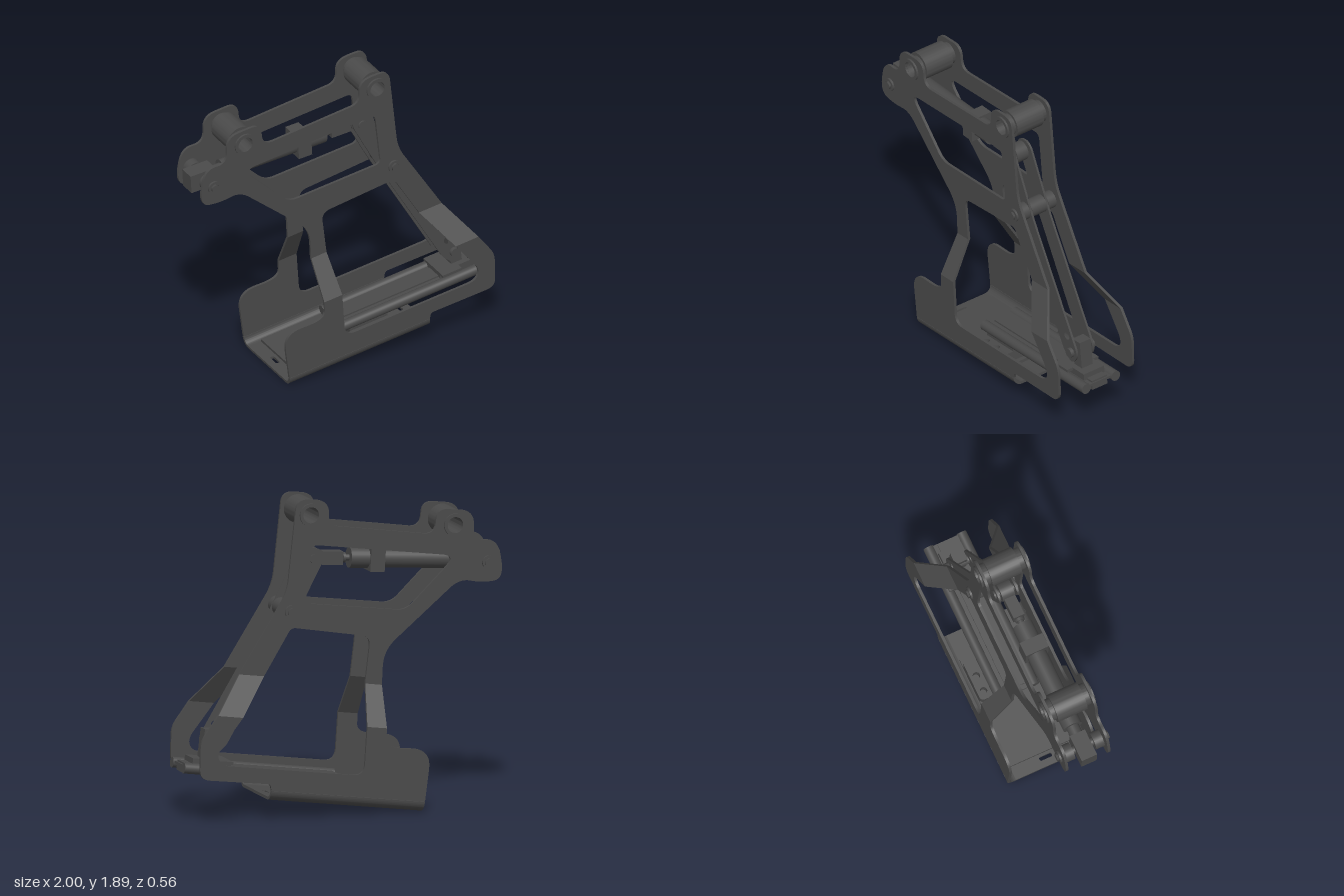
import * as THREE from 'three';
import { toCreasedNormals } from 'three/addons/utils/BufferGeometryUtils.js';

const material = new THREE.MeshStandardMaterial({ color: 0x4a4a4a });
const TILT = 0.125;

export function createModel() {
  const model = new THREE.Group();
  // the base parts lie in a frame tilted with the floor
  const base = new THREE.Group();
  base.name = 'base';
  base.position.y = 0.058;
  base.rotation.z = TILT;
  model.add(base);

  const add = (name, geometry, parent = model) => {
    const mesh = new THREE.Mesh(geometry, material);
    mesh.name = name;
    parent.add(mesh);
    return mesh;
  };

  // closed outline from corners [x, y, rounding]
  const rounded = (pts, path = new THREE.Shape()) => {
    const n = pts.length;
    pts.forEach(([x, y, r], i) => {
      const c = new THREE.Vector2(x, y);
      const toward = ([px, py]) => {
        const d = new THREE.Vector2(px, py).sub(c);
        return d.setLength(Math.min(r, d.length() * 0.49)).add(c);
      };
      const a = r ? toward(pts[(i + n - 1) % n]) : c;
      if (i) path.lineTo(a.x, a.y);
      else path.moveTo(a.x, a.y);
      if (r) {
        const b = toward(pts[(i + 1) % n]);
        path.quadraticCurveTo(x, y, b.x, b.y);
      }
    });
    path.closePath();
    return path;
  };
  const hole = (x, y, r) => new THREE.Path().absarc(x, y, r, 0, Math.PI * 2, true);
  const extrude = (shape, depth) =>
    new THREE.ExtrudeGeometry(shape, { depth, bevelEnabled: false, curveSegments: 10 });

  const box = (name, x0, x1, y0, y1, z0, z1, parent = model) => {
    const g = new THREE.BoxGeometry(x1 - x0, y1 - y0, z1 - z0);
    return add(name, g.translate((x0 + x1) / 2, (y0 + y1) / 2, (z0 + z1) / 2), parent);
  };
  const pin = (name, x, y, z0, z1, r, sides = 28) =>
    add(name, new THREE.CylinderGeometry(r, r, z1 - z0, sides).rotateX(Math.PI / 2).translate(x, y, (z0 + z1) / 2));
  const bar = (name, x0, x1, r, y, z, parent) =>
    add(name, new THREE.CylinderGeometry(r, r, x1 - x0, 28).rotateZ(Math.PI / 2).translate((x0 + x1) / 2, y, z), parent);
  const ring = (name, x, y, z0, z1, outer, inner) => {
    const shape = new THREE.Shape().absarc(0, 0, outer, 0, Math.PI * 2);
    shape.holes.push(hole(0, 0, inner));
    const g = new THREE.ExtrudeGeometry(shape, { depth: z1 - z0, bevelEnabled: false, curveSegments: 32 });
    return add(name, toCreasedNormals(g, 0.6).translate(x, y, z0));
  };

  // side frames: narrow on top, splayed through the legs, wide at the bottom
  const upper = rounded([
    [-0.131, 0.769, 0], [-0.165, 1.05, 0.06], [0.33, 1.13, 0.03], [0.5, 0.848, 0],
    [0.655, 0.8675, 0], [0.355, 1.345, 0.08], [0.295, 1.9, 0.07], [0.095, 1.88, 0.08],
    [0.095, 1.73, 0.06], [-0.565, 1.64, 0.07], [-0.58, 1.795, 0.07], [-0.81, 1.768, 0.08],
    [-0.81, 1.59, 0.07], [-0.96, 1.59, 0.1], [-1.0, 1.345, 0.12], [-0.85, 1.335, 0.07],
    [-0.72, 1.365, 0.08], [-0.245, 0.96, 0.1], [-0.235, 0.755, 0],
  ]);
  upper.holes.push(
    hole(-0.69, 1.69, 0.048), hole(0.21, 1.8, 0.05),
    rounded([[-0.7, 1.505, 0.09], [0.2, 1.62, 0.04], [0.24, 1.27, 0.04], [-0.385, 1.195, 0.06]], new THREE.Path()));
  const lower = rounded([
    [-0.222, 0.517, 0], [-0.215, 0.4, 0.11], [-0.5, 0.375, 0.12], [-0.459, 0.063, 0],
    [0.4985, 0.183, 0], [0.505, 0.222, 0.02], [0.945, 0.272, 0.06], [0.94, 0.5, 0.05],
    [0.83, 0.65, 0], [0.675, 0.63, 0], [0.84, 0.42, 0.06], [0.81, 0.35, 0.05],
    [-0.08, 0.24, 0.07], [-0.1, 0.532, 0],
  ]);
  const rearLeg = rounded([[-0.235, 0.755, 0], [-0.131, 0.769, 0], [-0.1, 0.532, 0], [-0.222, 0.517, 0]]);
  const foreLeg = rounded([[0.5, 0.848, 0], [0.655, 0.8675, 0], [0.83, 0.65, 0], [0.675, 0.63, 0]]);
  const THICK = 0.017;
  for (const side of [1, -1]) {
    const frame = new THREE.Group();
    frame.name = side > 0 ? 'frontSideFrame' : 'backSideFrame';
    model.add(frame);
    for (const [name, shape] of Object.entries({ upper, lower, rearLeg, foreLeg })) {
      const g = extrude(shape, THICK);
      const p = g.attributes.position;
      for (let i = 0; i < p.count; i++) {
        const height = p.getY(i) - 0.126 * p.getX(i);
        const offset = THREE.MathUtils.mapLinear(THREE.MathUtils.clamp(height, 0.545, 0.785), 0.545, 0.785, 0.262, 0.129);
        p.setZ(i, side > 0 ? offset + p.getZ(i) : p.getZ(i) - THICK - offset);
      }
      g.computeVertexNormals();
      add(name + 'Plate', toCreasedNormals(g, 0.5), frame);
    }
  }

  // floor with slots, joined to the side frames by rolled corners
  const floor = rounded([[-0.455, -0.22, 0], [0.51, -0.22, 0], [0.51, 0.22, 0], [-0.455, 0.22, 0]]);
  const slot = (x, z, w, d) => floor.holes.push(rounded(
    [[x - w, z - d, 0.01], [x + w, z - d, 0.01], [x + w, z + d, 0.01], [x - w, z + d, 0.01]], new THREE.Path()));
  slot(0.08, 0.17, 0.05, 0.012);
  slot(0.08, -0.17, 0.05, 0.012);
  slot(0.45, 0, 0.012, 0.04);
  slot(-0.4, 0, 0.012, 0.04);
  add('floor', extrude(floor, THICK).rotateX(-Math.PI / 2), base);
  const corner = new THREE.Shape();
  corner.absarc(0.219, 0.06, 0.06, -Math.PI / 2, 0, false);
  corner.absarc(0.219, 0.06, 0.06 - THICK, 0, -Math.PI / 2, true);
  for (const turn of [0.5, -0.5]) {
    const g = extrude(corner, 0.965).translate(0, 0, -0.4825).rotateY(Math.PI * turn).translate(0.0275, 0, 0);
    add('floorCorner', toCreasedNormals(g, 0.6), base);
  }

  // slide rail, mounting block and carriage on the floor
  box('floorPad', -0.37, 0.34, THICK, 0.035, -0.215, 0.215, base);
  box('mountingBlock', 0.05, 0.31, 0.035, 0.115, -0.13, 0.13, base);
  box('railTray', 0.0, 1.01, 0.135, 0.15, -0.115, 0.115, base);
  box('railCore', 0.03, 1.0, 0.1, 0.16, -0.055, 0.055, base);
  box('carriage', 0.71, 0.95, 0.15, 0.192, -0.075, 0.075, base);
  box('carriageBridge', 0.71, 0.84, 0.175, 0.192, -0.115, 0.115, base);
  box('lug', 0.81, 0.885, 0.185, 0.365, -0.04, 0.04, base);
  for (const s of [1, -1]) {
    bar('railRod', 0.0, 1.015, 0.032, 0.135, s * 0.108, base);
    const flange = rounded([[0.05, 0.12, 0], [0.31, 0.12, 0], [0.31, 0.215, 0.03], [0.05, 0.215, 0.03]]);
    flange.holes.push(hole(0.1, 0.175, 0.022), hole(0.2, 0.175, 0.022));
    const g = extrude(flange, 0.06).rotateX(s * Math.PI / 2);
    add('mountingFlange', g.translate(0, s > 0 ? 0.095 : 0.035, 0), base);
  }

  // pair of lever plates between the side frames
  const lever = rounded([
    [0.075, 1.56, 0.07], [0.2, 1.6, 0.07], [0.4, 1.2, 0.08], [0.85, 0.45, 0.06],
    [0.79, 0.365, 0.06], [0.71, 0.43, 0.03], [0.27, 1.19, 0.08],
  ]);
  lever.holes.push(hole(0.74, 0.54, 0.024));
  for (const z of [0.053, -0.066])
    add('leverPlate', toCreasedNormals(extrude(lever, 0.013), 0.5).translate(0, 0, z));

  // hollow bushings in the two top ears
  for (const [x, y, r] of [[-0.69, 1.69, 0.087], [0.21, 1.8, 0.085]]) {
    ring('bushing', x, y, -0.096, 0.096, r, 0.048);
    ring('bushingSleeve', x, y, -0.158, 0.158, 0.068, 0.048);
  }

  // pivots with spacers and bolt heads
  for (const [x, y] of [[-0.9, 1.455], [0.33, 1.225]]) {
    pin('pivotShaft', x, y, -0.15, 0.15, 0.025);
    for (const s of [1, -1]) {
      const part = (name, a, b, r, n) => pin(name, x, y, Math.min(s * a, s * b), Math.max(s * a, s * b), r, n);
      part('pivotSpacer', 0.068, 0.124, 0.054);
      part('pivotWasher', 0.146, 0.158, 0.04);
      part('pivotBolt', 0.158, 0.171, 0.026, 6);
    }
  }
  pin('leverSpacer', 0.33, 1.225, -0.053, 0.053, 0.055);
  pin('leverTopPin', 0.16, 1.52, -0.076, 0.076, 0.028);
  pin('leverLowerPin', 0.785, 0.45, -0.088, 0.088, 0.03);

  // linear actuator along its own sloping axis
  const actuator = new THREE.Group();
  actuator.name = 'actuator';
  actuator.position.set(-0.9, 1.455, 0);
  actuator.rotation.z = 0.061;
  model.add(actuator);
  box('tailBlock', -0.1, 0.07, -0.058, 0.058, -0.05, 0.05, actuator);
  bar('tailNeck', 0.06, 0.15, 0.04, 0, 0, actuator);
  bar('actuatorBody', 0.13, 0.63, 0.06, 0, 0, actuator);
  box('actuatorCollar', 0.62, 0.71, -0.074, 0.074, -0.074, 0.074, actuator);
  bar('actuatorGland', 0.71, 0.825, 0.062, 0, 0, actuator);
  bar('actuatorRod', 0.82, 0.96, 0.02, 0, 0, actuator);
  bar('rodNut', 0.85, 0.865, 0.03, 0, 0, actuator);
  box('rodClevis', 0.87, 1.0, -0.04, 0.04, -0.035, 0.035, actuator);
  pin('rodEye', 0.16, 1.52, -0.04, 0.04, 0.06);

  return model;
}
